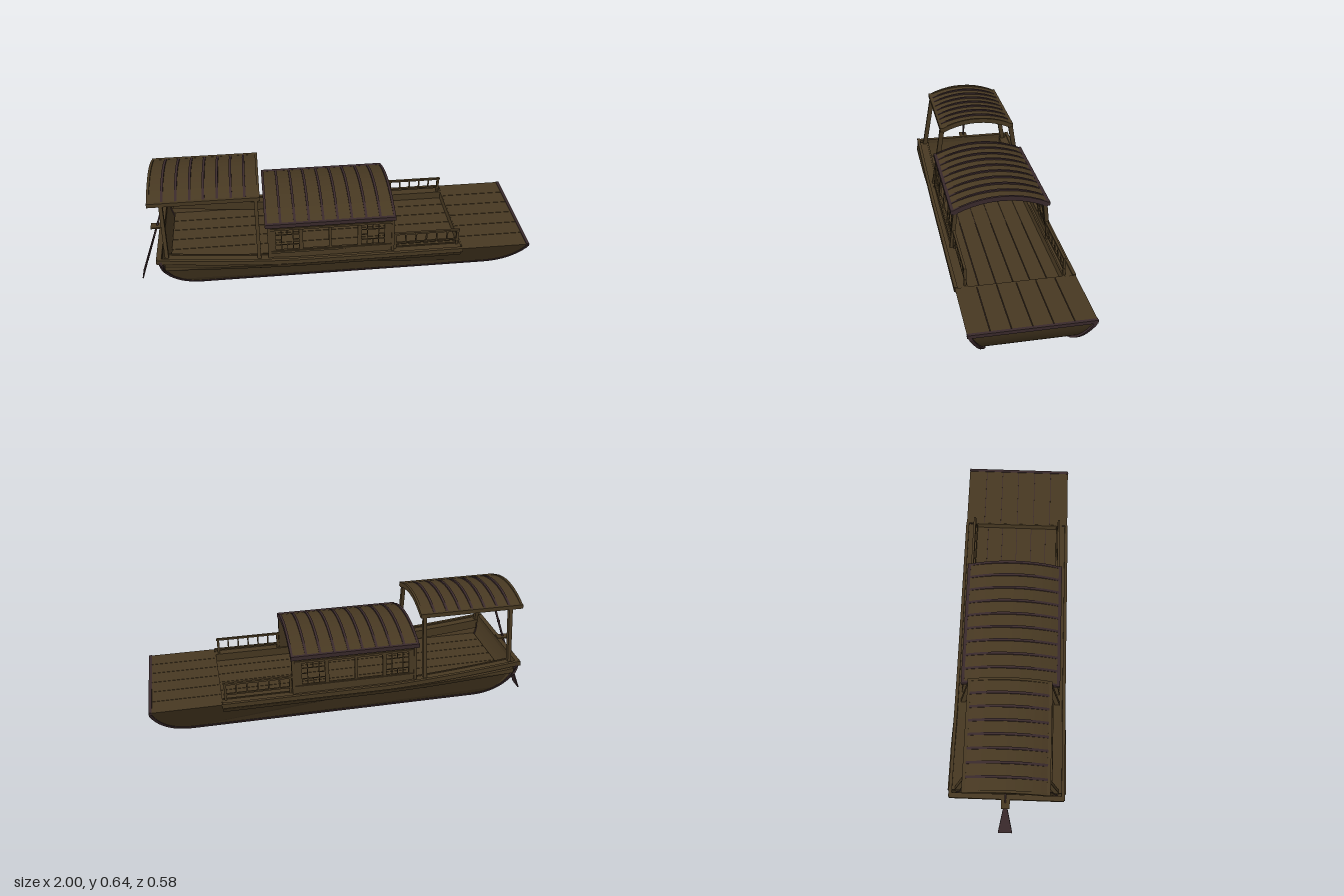
import * as THREE from 'three';

const mat = (name, color, side = THREE.FrontSide) => {
  const m = new THREE.MeshStandardMaterial({ color, side });
  m.name = name;
  return m;
};

export function createModel() {
  const wood = mat('brown wood', 0x483922, THREE.DoubleSide);
  const trim = mat('dark trim wood', 0x3a2a2c);
  const model = new THREE.Group();

  const add = (name, geo, material, parent = model) => {
    const m = new THREE.Mesh(geo, material);
    m.name = name;
    parent.add(m);
    return m;
  };
  const group = (name) => {
    const g = new THREE.Group();
    g.name = name;
    model.add(g);
    return g;
  };
  // Box given by its limits
  const box = (name, x0, x1, y0, y1, z0, z1, material, parent) => {
    const m = add(name, new THREE.BoxGeometry(x1 - x0, y1 - y0, z1 - z0), material, parent);
    m.position.set((x0 + x1) / 2, (y0 + y1) / 2, (z0 + z1) / 2);
    return m;
  };
  // Square bar between two points
  const bar = (name, a, b, w, d, material, parent) => {
    const p = new THREE.Vector3(...a), q = new THREE.Vector3(...b);
    const m = add(name, new THREE.BoxGeometry(w, p.distanceTo(q), d), material, parent);
    m.position.copy(p).add(q).multiplyScalar(0.5);
    m.quaternion.setFromUnitVectors(new THREE.Vector3(0, 1, 0), q.sub(p).normalize());
    return m;
  };
  // Side plate: an x-y shape extruded in z, leaning by a rule of y
  const sidePlate = (name, shape, depth, zAt, side, material, parent) => {
    const geo = new THREE.ExtrudeGeometry(shape, { depth, bevelEnabled: false });
    const p = geo.attributes.position;
    for (let i = 0; i < p.count; i++) {
      const t = p.getZ(i), z = zAt(p.getY(i));
      p.setZ(i, side > 0 ? z + t : t - depth - z);
    }
    geo.computeVertexNormals();
    return add(name, geo, material, parent);
  };

  // Hull lines
  const halfWidth = (y) => Math.min(0.184 + 0.53 * (y - 0.1), 0.27);
  const sheer = (x) => 0.263 + 0.055 * Math.pow(Math.max(0, (-0.15 - x) / 0.71), 1.5);
  const keelLine = new THREE.Path();
  keelLine.moveTo(-0.85, 0.31);
  keelLine.bezierCurveTo(-0.83, 0.17, -0.77, 0.1, -0.66, 0.1);
  keelLine.lineTo(0.8, 0.1);
  keelLine.bezierCurveTo(0.91, 0.1, 0.97, 0.16, 0.997, 0.262);
  const keel = keelLine.getPoints(14);
  const sheerPoints = (x0, x1, off, n = 20) =>
    Array.from({ length: n + 1 }, (_, i) => {
      const x = x0 + (x1 - x0) * i / n;
      return new THREE.Vector2(x, sheer(x) + off);
    });
  const sheerBand = (x0, x1, low, high) =>
    new THREE.Shape([...sheerPoints(x0, x1, low), ...sheerPoints(x1, x0, high)]);

  // Curved bottom running from transom to bow
  const hull = group('hull');
  const pos = [], idx = [];
  keel.forEach((p, i) => {
    const w = halfWidth(p.y) + 0.004;
    pos.push(p.x, p.y, w, p.x, p.y, -w);
    if (i) {
      const a = 2 * i - 2;
      idx.push(a, a + 1, a + 2, a + 1, a + 3, a + 2);
    }
  });
  const bottom = new THREE.BufferGeometry();
  bottom.setAttribute('position', new THREE.Float32BufferAttribute(pos, 3));
  bottom.setIndex(idx);
  bottom.computeVertexNormals();
  add('hullBottom', bottom, wood, hull);

  // Edge strip offset along the keel line
  const offsetKeel = (d) => keel.map((p, i) => {
    const a = keel[Math.max(0, i - 1)], b = keel[Math.min(keel.length - 1, i + 1)];
    const t = b.clone().sub(a).normalize();
    return new THREE.Vector2(Math.min(p.x + t.y * d, 1), p.y - t.x * d);
  });
  const edgeShape = new THREE.Shape([...offsetKeel(0.01), ...offsetKeel(-0.006).reverse()]);
  const sideShape = new THREE.Shape([...keel, ...sheerPoints(0.997, -0.85, 0)]);

  for (const s of [1, -1]) {
    sidePlate('hullSide', sideShape, 0.01, halfWidth, s, wood, hull);
    sidePlate('hullEdge', edgeShape, 0.016, (y) => halfWidth(y) - 0.003, s, trim, hull);
    sidePlate('gunwale', sheerBand(-0.865, 0.655, -0.02, 0.004), 0.016, () => 0.267, s, wood, hull);
    sidePlate('rubbingStrake', sheerBand(-0.83, 0.65, -0.052, -0.026), 0.018,
      (y) => halfWidth(y) + 0.002, s, wood, hull);
    sidePlate('sideDeck', sheerBand(-0.83, 0.65, -0.016, -0.004), 0.048, () => 0.224, s, wood, hull);
    sidePlate('coaming', sheerBand(-0.82, 0.65, -0.05, 0), 0.008, () => 0.22, s, wood, hull);
  }
  box('transomCap', -0.87, -0.845, 0.295, 0.318, -0.28, 0.28, wood, hull);
  box('bowCap', 0.985, 1, 0.25, 0.266, -0.28, 0.28, trim, hull);

  // Planked decks
  const deck = group('deck');
  const planks = (x0, x1, top, half, n) => {
    box('deckBase', x0, x1, top - 0.012, top - 0.004, -half, half, trim, deck);
    const w = 2 * half / n;
    for (let i = 0; i < n; i++)
      box('deckPlank', x0, x1, top - 0.006, top, -half + i * w + 0.0015, -half + (i + 1) * w - 0.0015, wood, deck);
  };
  planks(0.655, 0.986, 0.263, 0.272, 6);
  planks(-0.815, 0.655, 0.222, 0.24, 6);
  box('deckStep', 0.65, 0.66, 0.21, 0.262, -0.25, 0.25, wood, deck);

  // Arched roof with ribs
  const arch = (half, eave, rise, thick) => {
    const r = (half * half + rise * rise) / (2 * rise);
    const a = Math.asin(half / r), cy = eave + rise - r, n = 10;
    const arc = (rad) => Array.from({ length: n + 1 }, (_, i) => {
      const t = a - 2 * a * i / n;
      return new THREE.Vector2(rad * Math.sin(t), cy + rad * Math.cos(t));
    });
    return new THREE.Shape([...arc(r), ...arc(r - thick).reverse()]);
  };
  const archPart = (name, shape, x0, x1, material, parent) => {
    const geo = new THREE.ExtrudeGeometry(shape, { depth: x1 - x0, bevelEnabled: false });
    geo.rotateY(Math.PI / 2);
    add(name, geo, material, parent).position.x = x0;
  };
  const roof = (name, x0, x1, half, eave, rise, ribs, endMat) => {
    const g = group(name);
    archPart('roofBoards', arch(half - 0.003, eave, rise - 0.008, 0.01), x0 + 0.002, x1 - 0.002, wood, g);
    for (let i = 0; i < ribs; i++) {
      const x = x0 + (x1 - x0 - 0.012) * i / (ribs - 1);
      const end = i === 0 || i === ribs - 1;
      archPart('roofRib', arch(half, eave, rise, 0.024), x, x + 0.012, end ? endMat : trim, g);
    }
    for (const s of [1, -1])
      box('eaveBeam', x0, x1, eave - 0.017, eave + 0.004, s * (half - 0.004) - 0.008, s * (half - 0.004) + 0.008, endMat, g);
  };
  roof('cabinRoof', -0.335, 0.31, 0.24, 0.46, 0.057, 10, trim);
  roof('canopyRoof', -0.885, -0.35, 0.197, 0.598, 0.046, 9, wood);

  // Cabin walls with four windows each side
  const cabin = group('cabin');
  const lean = (y) => 0.238 - 0.11 * (y - 0.25);
  const rect = (C, x0, x1, y0, y1) => new C([[x0, y0], [x1, y0], [x1, y1], [x0, y1]].map((p) => new THREE.Vector2(...p)));
  const wall = rect(THREE.Shape, -0.325, 0.305, 0.245, 0.462);
  const windows = [[-0.285, -0.17, 1], [-0.15, -0.022, 0], [-0.008, 0.122, 0], [0.142, 0.257, 1]];
  for (const [a, b] of windows) wall.holes.push(rect(THREE.Path, a, b, 0.303, 0.416));
  for (const s of [1, -1]) {
    sidePlate('cabinWall', wall, 0.01, lean, s, wood, cabin);
    for (const x of [-0.325, 0.293])
      sidePlate('cornerPost', rect(THREE.Shape, x, x + 0.014, 0.23, 0.46), 0.02, (y) => lean(y) - 0.005, s, wood, cabin);
    sidePlate('windowSill', rect(THREE.Shape, -0.31, 0.293, 0.29, 0.3), 0.016, lean, s, wood, cabin);
    sidePlate('windowHead', rect(THREE.Shape, -0.31, 0.293, 0.42, 0.43), 0.016, lean, s, wood, cabin);
    for (const [a, b, lattice] of windows) {
      if (!lattice) continue;
      // Lattice: a central square with bars out to the frame
      const bars = [];
      for (const f of [0.25, 0.75]) {
        const x = a + (b - a) * f, y = 0.303 + 0.113 * f;
        bars.push([x - 0.002, x + 0.002, 0.303, 0.416], [a, b, y - 0.002, y + 0.002]);
      }
      const cx = (a + b) / 2;
      bars.push([cx - 0.002, cx + 0.002, 0.303, 0.331], [cx - 0.002, cx + 0.002, 0.388, 0.416]);
      bars.push([a, a + 0.029, 0.358, 0.362], [b - 0.029, b, 0.358, 0.362]);
      for (const r of bars)
        sidePlate('windowLattice', rect(THREE.Shape, ...r), 0.004, (y) => lean(y) + 0.003, s, wood, cabin);
    }
  }

  // Fore railings
  const railing = group('railing');
  for (const s of [1, -1]) {
    const z = s * 0.23;
    box('topRail', 0.305, 0.642, 0.342, 0.352, z - 0.006, z + 0.006, wood, railing);
    box('lowerRail', 0.305, 0.642, 0.286, 0.294, z - 0.004, z + 0.004, wood, railing);
    for (let i = 0; i < 7; i++) {
      const x = 0.315 + 0.053 * i, w = i % 6 ? 0.0035 : 0.006;
      box('baluster', x - w, x + w, i % 6 ? 0.29 : 0.24, 0.345, z - w, z + w, wood, railing);
    }
  }

  // Canopy posts leaning inwards
  const posts = group('canopyPosts');
  for (const s of [1, -1])
    for (const x of [-0.82, -0.37])
      bar('canopyPost', [x, sheer(x) - 0.06, s * 0.25], [x, 0.592, s * 0.189], 0.018, 0.024, wood, posts);

  // Stern oar on its rest
  const oar = group('sternOar');
  const at = (y, z = -0.005) => [-0.995 + 0.35 * y, y, z];
  bar('oarShaft', at(0.1), at(0.52), 0.009, 0.009, trim, oar);
  const bladeGeo = new THREE.ExtrudeGeometry(
    new THREE.Shape([[-0.037, 0], [0.037, 0], [0.007, 0.31], [-0.007, 0.31]].map((p) => new THREE.Vector2(...p))),
    { depth: 0.006, bevelEnabled: false });
  bladeGeo.rotateY(Math.PI / 2);
  const blade = add('oarBlade', bladeGeo, trim, oar);
  blade.position.set(-0.999, 0.002, -0.005);
  blade.rotation.z = -Math.atan(0.35);
  bar('oarHandle', at(0.5), [-0.808, 0.547, -0.005], 0.006, 0.006, trim, oar);
  bar('oarGrip', at(0.415, -0.012), at(0.415, 0.002), 0.012, 0.012, trim, oar);
  box('oarRest', -0.915, -0.85, 0.314, 0.322, -0.025, 0.017, wood, oar);

  return model;
}
